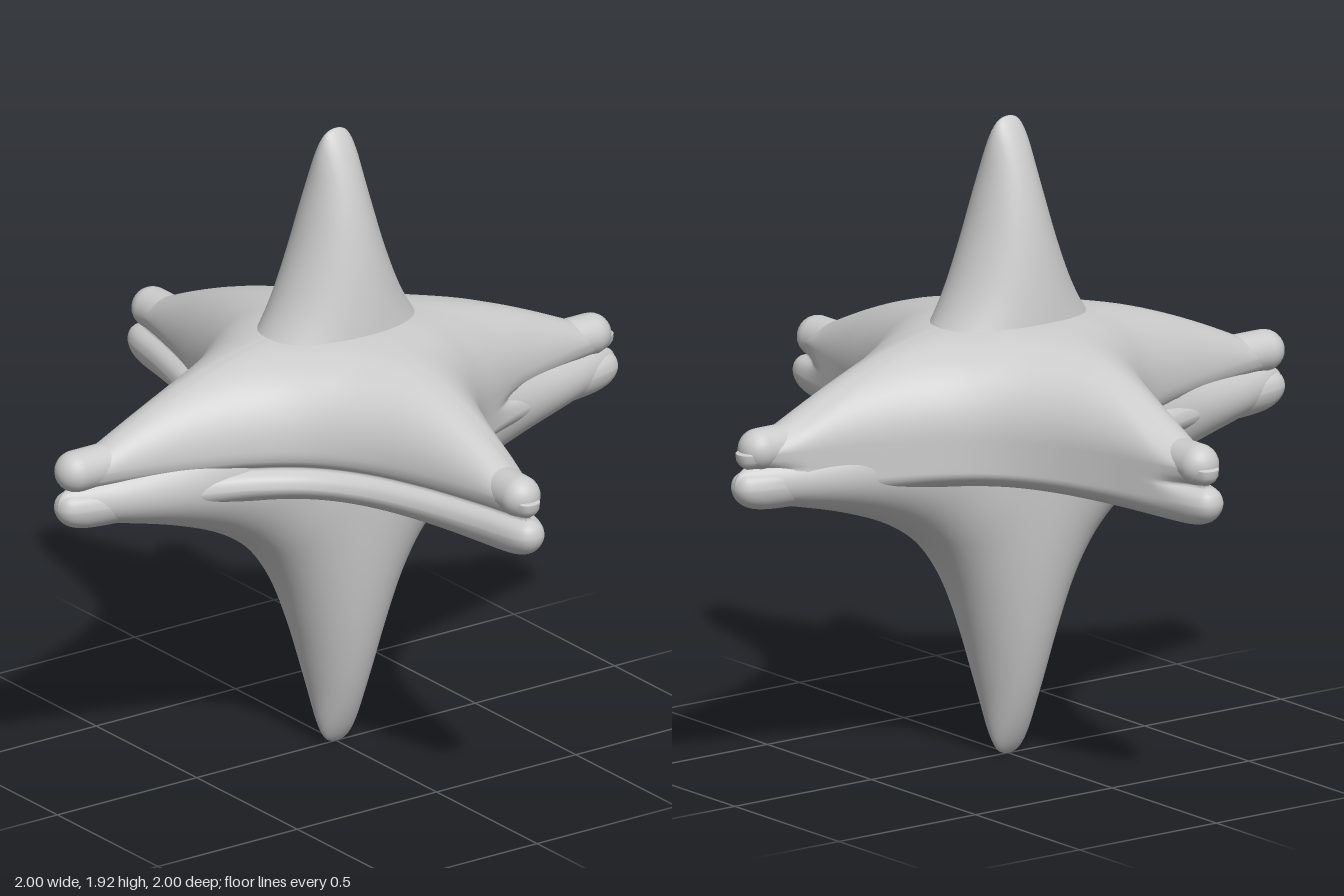
import * as THREE from 'three';

const material = new THREE.MeshStandardMaterial({ color: 0xcccccc });

// Four-armed star outline, counter-clockwise, with outward normals
function starOutline() {
  const half = [[1, 0], [0.99, 0.032], [0.955, 0.054], [0.8, 0.09], [0.6, 0.145], [0.43, 0.215], [0.305, 0.305]];
  const quadrant = [...half, ...half.slice(1, -1).reverse().map(([a, b]) => [b, a])];
  const points = [];
  for (let q = 0; q < 4; q++) {
    const c = [1, 0, -1, 0][q], s = [0, 1, 0, -1][q];
    for (const [a, b] of quadrant) points.push(new THREE.Vector3(a * c - b * s, a * s + b * c, 0));
  }
  const curve = new THREE.CatmullRomCurve3(points, true, 'centripetal');
  const pts = curve.getPoints(points.length * 5).slice(0, -1);
  return pts.map((p, i) => {
    const d = pts[(i + 1) % pts.length].clone().sub(pts[(i + pts.length - 1) % pts.length]).normalize();
    return { u: p.x, v: p.y, nu: d.y, nv: -d.x };
  });
}

const outline = starOutline();
const firstQuadrant = outline.slice(0, outline.length / 4 + 1);

// Half width of the star at distance t along an arm
function halfWidth(t) {
  for (let i = 1; i < firstQuadrant.length; i++) {
    const a = firstQuadrant[i - 1], b = firstQuadrant[i];
    if (t >= b.u) return a.v + (b.v - a.v) * THREE.MathUtils.clamp((a.u - t) / (a.u - b.u), 0, 1);
  }
  return 1;
}

// Height of a cushion over the star: rounded across each arm, spine(t) along it,
// with the two pairs of arms blended smoothly
function cushion(u, v, spine) {
  const arm = (t, d) => spine(t) * Math.sqrt(Math.max(0, 1 - (d / Math.max(halfWidth(t), 1e-4)) ** 2));
  const a = Math.abs(u), b = Math.abs(v);
  const weight = a ** 4 / (a ** 4 + b ** 4);
  return weight * arm(a, b) + (1 - weight) * arm(b, a);
}

const falloff = (size, square, power) => t => size * Math.pow(Math.max(0, 1 - t ** square), power);

// Skin a stack of closed rings, listed from the +z side to the -z side
function loft(rings) {
  const n = rings[0].length, index = [];
  for (let r = 0; r < rings.length - 1; r++) {
    for (let i = 0; i < n; i++) {
      const j = (i + 1) % n, a = r * n + i, b = r * n + j, c = a + n, d = b + n;
      index.push(a, c, d, a, d, b);
    }
  }
  const g = new THREE.BufferGeometry();
  g.setAttribute('position', new THREE.Float32BufferAttribute(rings.flat(2), 3));
  g.setIndex(index);
  g.computeVertexNormals();
  return g;
}

// Ring sizes from the middle out to the edge, denser at the edge
const sizes = Array.from({ length: 41 }, (_, k) => Math.sin(0.002 + (k / 40) * (Math.PI / 2 - 0.002)));

// Upright star: a cushion on both sides
function uprightGeometry() {
  const spine = falloff(0.2, 2, 0.7);
  const ring = (s, side) => outline.map(p => [p.u * s, p.v * s * 0.96, side * cushion(p.u * s, p.v * s, spine)]);
  return loft([...sizes.map(s => ring(s, 1)), ...sizes.slice(0, -1).reverse().map(s => ring(s, -1))]);
}

// How deep the rim groove is: full on one side, only near the tips on the other
function grooveAmount({ u, v }) {
  if (u < 0) return 1;
  const start = u > -v && v < 0 ? 0.47 : 0.8;
  return THREE.MathUtils.smoothstep(Math.hypot(u, v), start, start + 0.15);
}

// Flat star: domed top, grooved rim, shallow rounded underside
function flatGeometry() {
  const top = falloff(0.285, 2, 1.15), bottom = falloff(0.08, 20, 0.5);
  const ring = (s, inset, height) => outline.map(p => {
    const d = inset * grooveAmount(p);
    return [(p.u - p.nu * d) * s, (p.v - p.nv * d) * s, height(p.u * s, p.v * s)];
  });
  const rim = [[0.015, 1.035], [0.024, 1.02], [0.038, 1.01], [0.045, 1.003],
    [0.036, 0.998], [0.02, 0.992], [0.009, 0.982], [0.003, 0.97]];
  return loft([
    ...sizes.map(s => ring(s, 0.013, (u, v) => 1.055 + cushion(u, v, top))),
    ...rim.map(([inset, w]) => ring(1, inset, () => w)),
    ...sizes.slice().reverse().map(s => ring(s, 0, (u, v) => 0.955 - cushion(u, v, bottom))),
  ]);
}

export function createModel() {
  const group = new THREE.Group();

  const upright = new THREE.Mesh(uprightGeometry(), material);
  upright.name = 'uprightStar';
  upright.position.y = 0.96;

  const flat = new THREE.Mesh(flatGeometry(), material);
  flat.name = 'flatStar';
  flat.rotation.x = -Math.PI / 2;
  group.add(upright, flat);

  // Rounded knob on top of each flat arm's tip; the right one reaches further out
  const knobGeometry = new THREE.CapsuleGeometry(0.062, 0.1, 8, 24).rotateZ(Math.PI / 2);
  for (let i = 0; i < 4; i++) {
    const angle = i * Math.PI / 2, reach = i === 2 ? 0.885 : 0.862;
    const knob = new THREE.Mesh(knobGeometry, material);
    knob.name = 'tipKnob';
    knob.rotation.y = angle;
    knob.position.set(reach * Math.cos(angle), 1.062, -reach * Math.sin(angle));
    group.add(knob);
  }
  return group;
}
